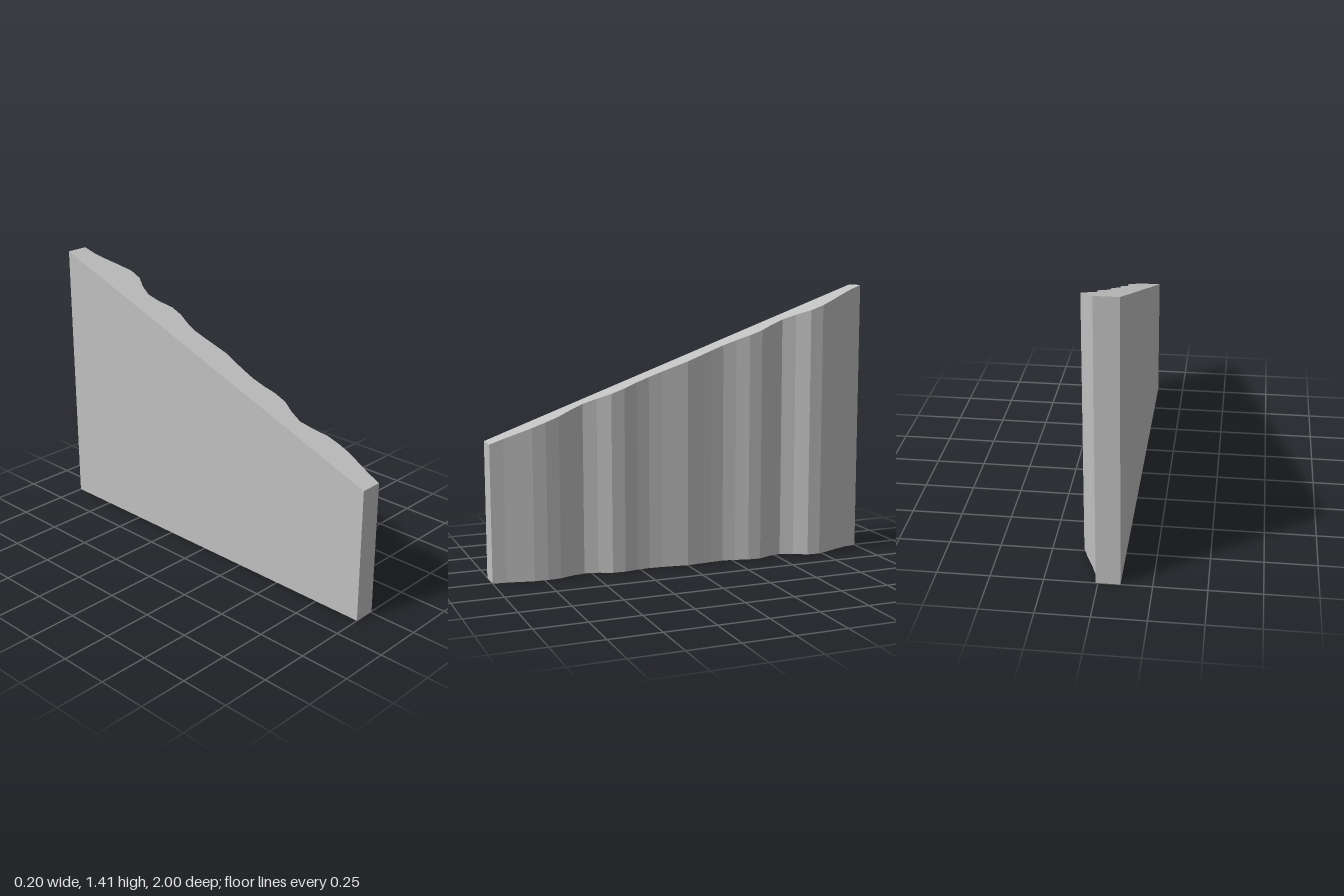
import * as THREE from 'three';

// Depth of the wavy face from back (z = -1) to front (z = 1), evenly spaced
const WAVE = [
  0.01, 0.02, 0.045, 0.075, 0.1, 0.095, 0.055, 0.033, 0.045, 0.073, 0.07,
  0.05, 0.039, 0.043, 0.049, 0.055, 0.046, 0.037, 0.032, 0.037, 0.049,
  0.046, 0.017, 0, 0.017, 0.045, 0.05, 0.046, 0.032, 0.018, 0.01,
];
const BACK_X = -0.103;
const topHeight = (z) => 1.044 - 0.3635 * z;

export function createModel() {
  const group = new THREE.Group();
  group.name = 'wavyWall';

  const stone = new THREE.MeshStandardMaterial({ color: 0xc0c0c0, flatShading: true });
  stone.name = 'light grey';

  // Plan outline: flat side at -x, rippled side at +x (shape y is -z)
  const outline = new THREE.Shape();
  outline.moveTo(BACK_X, -1);
  for (let i = WAVE.length - 1; i >= 0; i--) {
    outline.lineTo(WAVE[i], 1 - (2 * i) / (WAVE.length - 1));
  }
  outline.lineTo(BACK_X, 1);
  outline.closePath();

  const geometry = new THREE.ExtrudeGeometry(outline, { depth: 1, bevelEnabled: false });
  geometry.rotateX(-Math.PI / 2);

  // Raise the top to a straight slope, higher at the back
  const p = geometry.attributes.position;
  for (let i = 0; i < p.count; i++) {
    p.setY(i, p.getY(i) > 0.5 ? topHeight(p.getZ(i)) : 0);
  }
  geometry.computeVertexNormals();

  const wall = new THREE.Mesh(geometry, stone);
  wall.name = 'slopedWall';
  group.add(wall);
  return group;
}
